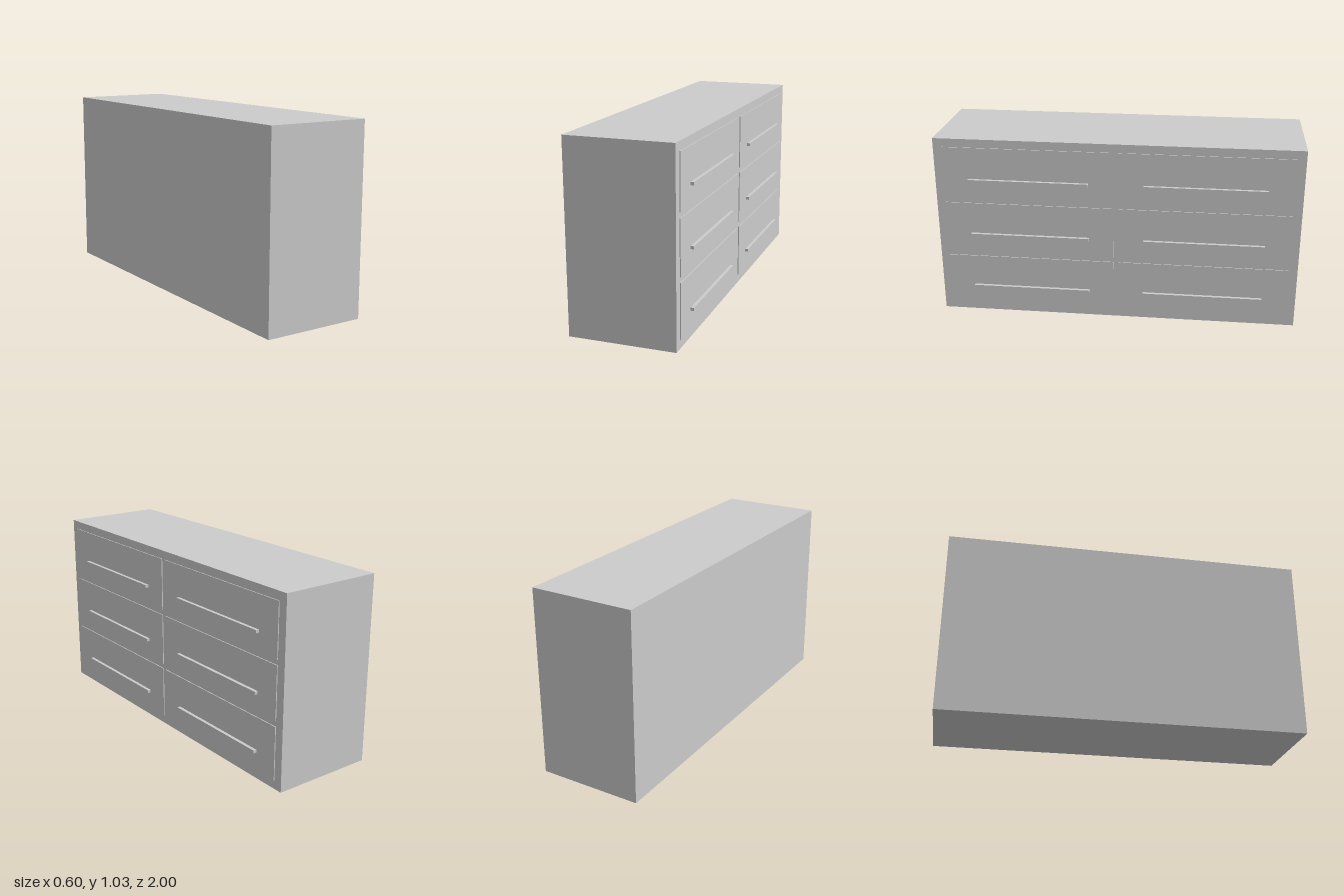
import * as THREE from 'three';

const material = new THREE.MeshStandardMaterial({ color: 0xcccccc });

// Box given by its minimum and maximum corners
function box(name, [x0, y0, z0], [x1, y1, z1]) {
  const mesh = new THREE.Mesh(new THREE.BoxGeometry(x1 - x0, y1 - y0, z1 - z0), material);
  mesh.position.set((x0 + x1) / 2, (y0 + y1) / 2, (z0 + z1) / 2);
  mesh.name = name;
  return mesh;
}

export function createModel() {
  const model = new THREE.Group();
  model.name = 'dresser';

  // Cabinet body
  const faceX = 0.276;
  model.add(box('cabinet', [-0.3, 0, -1], [faceX, 1.03, 1]));

  // Two columns of three drawers on the +x side, each with a bar handle
  const drawerX = 0.281, drawerHeight = 0.293, rowPitch = 0.321;
  for (const side of [-1, 1]) {
    for (let row = 0; row < 3; row++) {
      const y = 0.048 + row * rowPitch;
      const z = side * 0.482;
      const drawer = new THREE.Group();
      drawer.name = 'drawer';
      drawer.add(
        box('drawerFront', [faceX - 0.01, y, z - 0.469], [drawerX, y + drawerHeight, z + 0.469]),
        box('drawerHandle', [drawerX - 0.003, y + 0.099, z - 0.332], [0.299, y + 0.115, z + 0.332])
      );
      model.add(drawer);
    }
  }
  return model;
}
